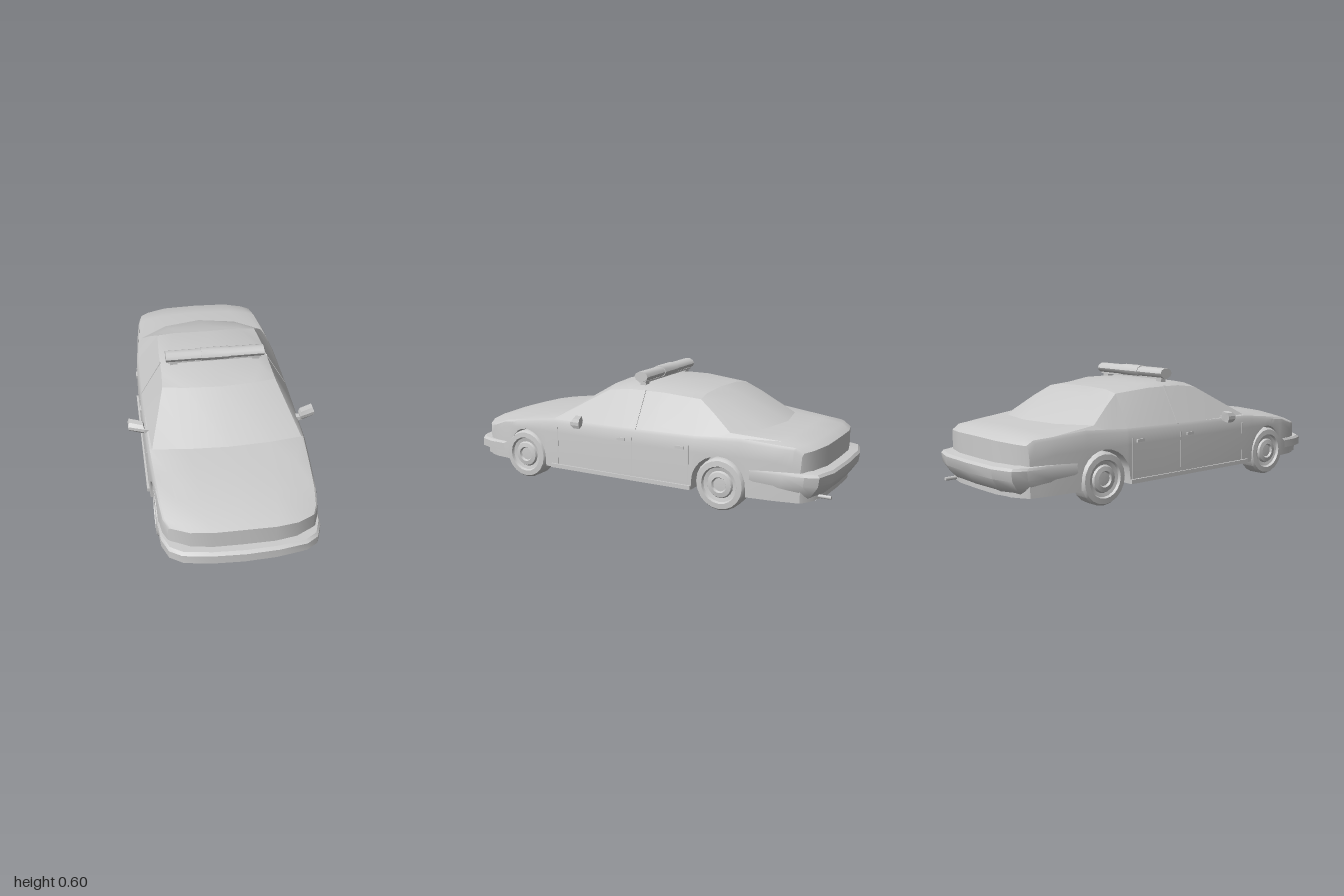
import * as THREE from 'three';
import { toCreasedNormals } from 'three/addons/utils/BufferGeometryUtils.js';

const mat = new THREE.MeshStandardMaterial({ color: 0xcccccc, side: THREE.DoubleSide });
const FLOOR = 0.085, ARCH_R = 0.138, WHEEL_Y = 0.125, AXLES = [0.62, -0.5];

// piecewise linear lookup; keys run from front (+z) to back
function lerpTable(table, z) {
  if (z >= table[0][0]) return table[0][1];
  for (let i = 1; i < table.length; i++) {
    const [z0, v0] = table[i - 1], [z1, v1] = table[i];
    if (z >= z1) return v0 + (v1 - v0) * (z0 - z) / (z0 - z1);
  }
  return table[table.length - 1][1];
}
const WIDTH = [[0.95, 0.335], [0.9, 0.355], [0.78, 0.366], [0.42, 0.386], [0.02, 0.39], [-0.37, 0.386], [-0.8, 0.352], [-0.95, 0.33]];
const MID = [[0.95, 0.2], [0.8, 0.264], [0.6, 0.27], [-0.6, 0.27], [-0.8, 0.265], [-0.95, 0.24]];
const BELT = [[0.95, 0.243], [0.8, 0.283], [0.42, 0.32], [-0.37, 0.33], [-0.6, 0.34], [-0.9, 0.325], [-0.95, 0.3]];
const SHOULDER = [[0.95, 0.252], [0.9, 0.262], [0.78, 0.293], [0.6, 0.315], [0.42, 0.335], [-0.37, 0.345], [-0.6, 0.357], [-0.91, 0.337], [-0.95, 0.315]];
const width = (z) => lerpTable(WIDTH, z);

// rounds the nose and tail in plan
function point(x, y, z) {
  const t = Math.max(0, (Math.abs(z) - 0.5) / 0.45);
  return [x, y, z - Math.sign(z) * 6 * x ** 4 * t * t];
}
const shoulder = (z) => point(width(z) - 0.012, lerpTable(SHOULDER, z), z);
const mirrorRow = (half) => [...half, ...half.slice(0, -1).reverse().map(([x, y, z]) => [-x, y, z])].reverse();

// surface through rows of points
function patch(name, rows, crease = 0.6) {
  const n = rows[0].length, index = [];
  for (let i = 0; i < rows.length - 1; i++) for (let j = 0; j < n - 1; j++) {
    const a = i * n + j, c = a + n;
    index.push(a, a + 1, c, a + 1, c + 1, c);
  }
  const g = new THREE.BufferGeometry();
  g.setAttribute('position', new THREE.Float32BufferAttribute(rows.flat(2), 3));
  g.setIndex(index);
  return mesh(name, toCreasedNormals(g, crease));
}
function mesh(name, geometry, x = 0, y = 0, z = 0) {
  const m = new THREE.Mesh(geometry, mat);
  m.name = name;
  m.position.set(x, y, z);
  return m;
}
const box = (name, w, h, d, x, y, z) => mesh(name, new THREE.BoxGeometry(w, h, d), x, y, z);

// upper body rows: [shoulder z], roof edge, inner and centre points as z, x, y
const UPPER = [
  [0.95, [0.95, 0.24, 0.257], [0.95, 0.14, 0.261], [0.95, 0, 0.263]],
  [0.9, [0.9, 0.26, 0.272], [0.9, 0.16, 0.278], [0.9, 0, 0.281]],
  [0.78, [0.78, 0.28, 0.302], [0.78, 0.17, 0.311], [0.78, 0, 0.316]],
  [0.6, [0.6, 0.3, 0.324], [0.6, 0.18, 0.334], [0.6, 0, 0.339]],
  [0.42, [0.43, 0.362, 0.34], [0.46, 0.2, 0.347], [0.475, 0, 0.351]],
  [0.13, [0.15, 0.283, 0.498], [0.185, 0.17, 0.509], [0.2, 0, 0.511]],
  [0.02, [0.04, 0.277, 0.512], [0.06, 0.22, 0.53], [0.06, 0, 0.533]],
  [-0.15, [-0.15, 0.275, 0.512], [-0.15, 0.22, 0.53], [-0.15, 0, 0.533]],
  [-0.37, [-0.35, 0.265, 0.497], [-0.34, 0.18, 0.51], [-0.33, 0, 0.513]],
  [-0.43, [-0.43, 0.298, 0.449], [-0.44, 0.19, 0.482], [-0.44, 0, 0.488]],
  [-0.5, [-0.54, 0.342, 0.373], [-0.65, 0.2, 0.375], [-0.69, 0, 0.377]],
  [-0.8, [-0.8, 0.3, 0.353], [-0.8, 0.2, 0.362], [-0.8, 0, 0.366]],
  [-0.91, [-0.91, 0.28, 0.343], [-0.91, 0.18, 0.35], [-0.91, 0, 0.352]],
  [-0.95, [-0.95, 0.27, 0.32], [-0.95, 0.16, 0.325], [-0.95, 0, 0.327]],
];

function addUpperBody(car) {
  const rows = UPPER.map(([s, ...pts]) => mirrorRow([shoulder(s), ...pts.map(([z, x, y]) => point(x, y, z))]));
  const part = (name, r0, r1, c0, c1) =>
    car.add(patch(name, rows.slice(r0, r1 + 1).map((r) => r.slice(c0, c1 + 1))));
  part('hood', 0, 4, 0, 6);
  part('windshield', 4, 5, 1, 5);
  part('roof', 5, 8, 1, 5);
  part('rearWindow', 8, 10, 1, 5);
  part('trunkLid', 10, 13, 0, 6);
  for (const c of [0, 5]) {
    part('sideWindows', 4, 8, c, c + 1);
    part('rearPillar', 8, 10, c, c + 1);
  }
}

function archHeight(z) {
  for (const a of AXLES) {
    const d = Math.abs(z - a);
    if (d <= ARCH_R + 1e-6) return WHEEL_Y + Math.sqrt(Math.max(0, ARCH_R ** 2 - d * d));
  }
  return FLOOR;
}

// sides, floor and wheel wells in one ring per station
function addLowerBody(car) {
  const zs = new Set([...WIDTH, ...BELT, ...SHOULDER].map((k) => k[0]));
  UPPER.forEach((r) => zs.add(r[0]));
  for (const a of AXLES) {
    zs.add(a + ARCH_R + 0.001).add(a - ARCH_R - 0.001);
    for (let i = 0; i <= 12; i++) zs.add(a + ARCH_R * Math.cos(Math.PI * i / 12));
  }
  const side = (z) => {
    const w = width(z);
    return [point(w, lerpTable(MID, z), z), point(w - 0.004, lerpTable(BELT, z), z), shoulder(z)];
  };
  const rows = [...zs].sort((a, b) => b - a).map((z) => {
    const y = archHeight(z);
    const half = [...side(z).reverse(), point(width(z), y, z), point(0.25, y, z), point(0.25, FLOOR, z), point(0, FLOOR, z)];
    return mirrorRow(half).reverse();
  });
  car.add(patch('lowerBody', rows, 0.5));
  // nose and tail faces
  for (const end of [0, UPPER.length - 1]) {
    const [s, ...pts] = UPPER[end];
    const top = mirrorRow([...side(s), ...pts.map(([z, x, y]) => point(x, y, z))]);
    const low = top.map(([x, , z]) => [x, FLOOR, z]);
    car.add(patch(end ? 'tailPanel' : 'nosePanel', end ? [top, low] : [low, top]));
  }
}

// path: plan points [x, z]; profile: [y, inset], listed to face outward
function bumper(name, path, profile) {
  return patch(name, profile.map(([y, inset]) => mirrorRow(
    path.map(([x, z]) => [x * (1 - inset), y, z - Math.sign(z) * inset]))), 0.5);
}

function wheel(side, z) {
  const profile = [[0, -0.05], [0.1, -0.05], [0.118, -0.046], [0.125, -0.034], [0.125, 0.036], [0.116, 0.05],
    [0.09, 0.052], [0.084, 0.04], [0.066, 0.036], [0.06, 0.046], [0.038, 0.05], [0.032, 0.04], [0, 0.042]];
  const g = new THREE.LatheGeometry(profile.map((p) => new THREE.Vector2(...p)), 20);
  const m = mesh('wheel', toCreasedNormals(g, 0.6), side * 0.323, WHEEL_Y, z);
  m.rotation.z = -side * Math.PI / 2;
  return m;
}

// door mirror swept back towards its tip
function doorMirror(side) {
  const g = new THREE.BoxGeometry(0.078, 0.048, 0.05, 2, 3, 1);
  const p = g.attributes.position;
  for (let i = 0; i < p.count; i++) {
    const out = p.getX(i) * side, edge = Math.abs(p.getY(i)) > 0.02;
    p.setZ(i, p.getZ(i) * (edge && p.getZ(i) > 0 ? 0.4 : 1) - out * 0.4);
    if (Math.abs(out) > 0.03 && edge) p.setX(i, p.getX(i) * 0.85);
  }
  return mesh('doorMirror', toCreasedNormals(g, 0.3), side * 0.426, 0.35, 0.255);
}

function lightBar() {
  const bar = new THREE.Group();
  bar.name = 'lightBar';
  const tube = (name, len, ry, rz) => {
    const g = new THREE.CylinderGeometry(1, 1, len, 10).rotateZ(Math.PI / 2).scale(1, ry, rz);
    bar.add(mesh(name, toCreasedNormals(g, 0.8), 0, 0.572, -0.013));
  };
  tube('lamps', 0.5, 0.026, 0.037);
  tube('centreHousing', 0.14, 0.03, 0.04);
  bar.add(box('mountingPlate', 0.48, 0.008, 0.04, 0, 0.546, -0.013));
  for (const s of [1, -1]) bar.add(box('bracket', 0.036, 0.03, 0.03, s * 0.21, 0.532, -0.013));
  return bar;
}

export function createModel() {
  const car = new THREE.Group();
  car.name = 'car';
  addUpperBody(car);
  addLowerBody(car);

  car.add(bumper('frontBumper',
    [[0.371, 0.765], [0.364, 0.86], [0.335, 0.935], [0.28, 0.972], [0.15, 0.993], [0, 1]],
    [[0.085, 0.06], [0.09, 0.03], [0.122, 0.03], [0.126, 0], [0.165, 0], [0.176, 0.015], [0.178, 0.06]]));
  car.add(bumper('rearBumper',
    [[0.365, -0.65], [0.354, -0.8], [0.34, -0.9], [0.31, -0.96], [0.2, -0.993], [0, -1]],
    [[0.23, 0.06], [0.222, 0.01], [0.21, 0], [0.165, 0.006], [0.115, 0.04], [0.085, 0.075]]));

  const pipe = new THREE.CylinderGeometry(0.009, 0.009, 0.17, 8).rotateX(Math.PI / 2);
  car.add(mesh('exhaustPipe', pipe, 0.22, 0.098, -0.905));
  car.add(lightBar());

  for (const s of [1, -1]) {
    for (const z of AXLES) car.add(wheel(s, z));
    car.add(doorMirror(s));
    car.add(box('mirrorArm', 0.03, 0.02, 0.03, s * 0.383, 0.338, 0.27));
    car.add(box('sillTrim', 0.014, 0.02, 0.8, s * 0.39, 0.096, 0.04));
    // door seams, handles and the pillar between the side windows
    for (const z of [0.4, -0.04, -0.345]) car.add(box('doorSeam', 0.005, 0.2, 0.005, s * (width(z) - 0.001), 0.2, z));
    for (const z of [0.02, -0.3]) car.add(box('doorHandle', 0.008, 0.014, 0.045, s * 0.39, 0.285, z));
    const pillar = box('doorPillar', 0.006, 0.205, 0.014, s * 0.327, 0.426, -0.05);
    pillar.rotation.z = s * Math.atan2(0.1, 0.172);
    car.add(pillar);
  }
  return car;
}
